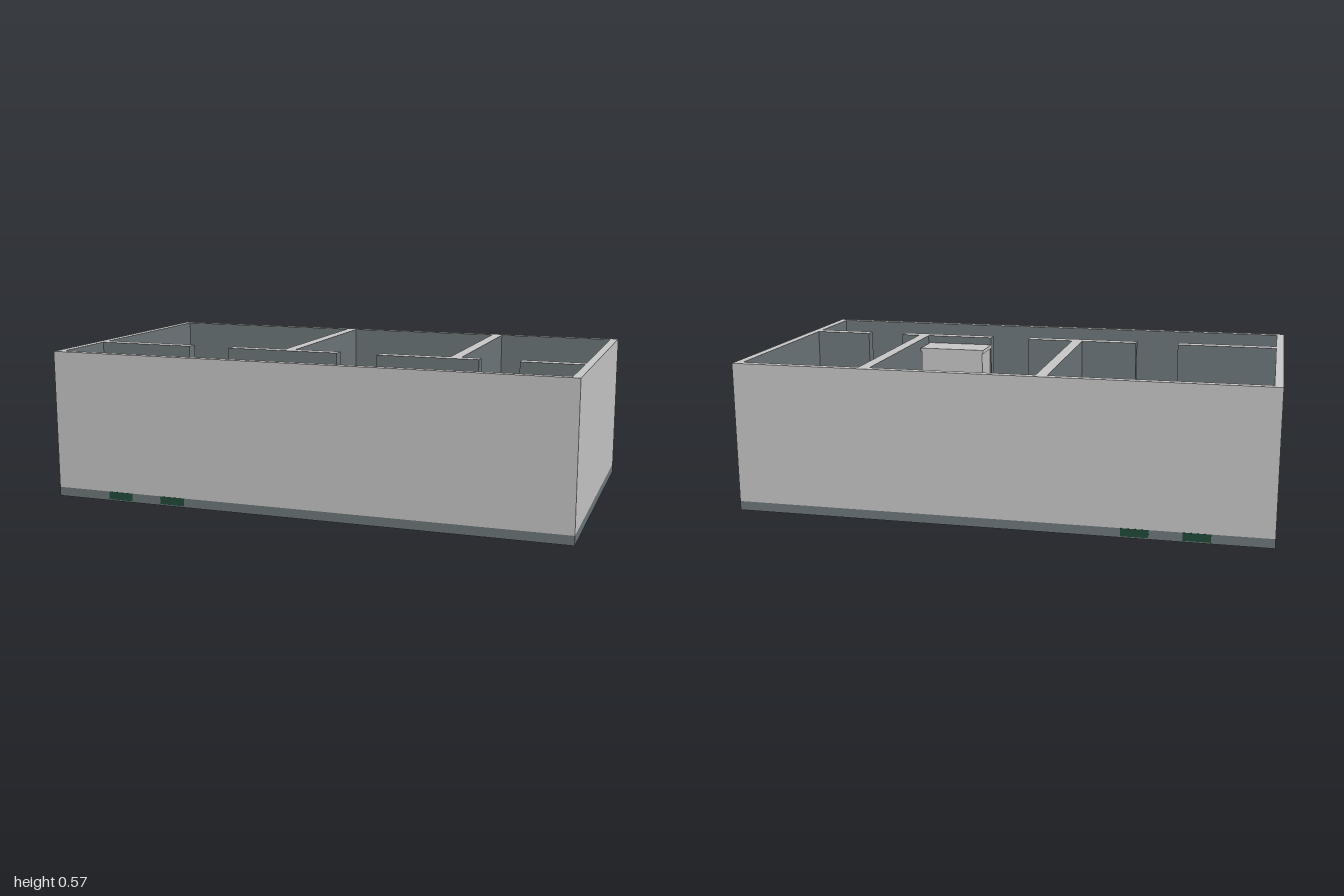
import * as THREE from 'three';

const mat = (name, color) => {
  const m = new THREE.MeshStandardMaterial({ color });
  m.name = name;
  return m;
};

export function createModel() {
  const pale = mat('pale grey', 0xcacaca);
  const slate = mat('slate', 0x6f797d);
  const green = mat('dark green', 0x214b3b);
  const wood = mat('red brown', 0x944a23);
  const H = 0.57, F = 0.035;

  const model = new THREE.Group();
  model.name = 'floorPlan';

  // Box given by its limits along x, y and z
  const box = (parent, name, material, x0, x1, y0, y1, z0, z1) => {
    const mesh = new THREE.Mesh(new THREE.BoxGeometry(x1 - x0, y1 - y0, z1 - z0), material);
    mesh.position.set((x0 + x1) / 2, (y0 + y1) / 2, (z0 + z1) / 2);
    mesh.name = name;
    parent.add(mesh);
    return mesh;
  };
  const group = (name, parent = model) => {
    const g = new THREE.Group();
    g.name = name;
    parent.add(g);
    return g;
  };

  // Base slab: slate rim, pale top and underside
  box(model, 'baseSlab', [slate, slate, pale, pale, slate, slate], -1, 1, 0, F, -0.555, 0.555);
  for (const x of [-0.78, -0.56])
    for (const z of [-0.555, 0.555])
      box(model, 'rimPatch', green, x, x + 0.1, 0.005, F, z - 0.001, z + 0.001);

  // Green floors, set in slightly from the walls
  for (const [x0, x1, z0, z1] of [
    [-0.96, -0.197, -0.518, 0.19], [-0.135, 0.463, -0.518, 0.19],
    [0.525, 0.957, -0.518, 0.19], [-0.97, 0.967, 0.247, 0.522]])
    box(model, 'floor', green, x0, x1, F, F + 0.003, z0, z1);

  // Walls: pale caps, slate sides; outside faces are pale
  const walls = group('walls');
  const wall = (name, x0, x1, z0, z1, outside = -1) => {
    const faces = [0, 1, 2, 3, 4, 5].map(i => (i === 2 || i === outside ? pale : slate));
    box(walls, name, faces, x0, x1, F, H, z0, z1);
  };
  wall('frontWall', -1, 1, 0.525, 0.555, 4);
  wall('backWall', -1, 1, -0.555, -0.525, 5);
  wall('leftWall', 0.97, 1, -0.525, 0.525, 0);
  wall('rightWall', -1, -0.97, -0.525, 0.525, 1);
  // the end faces of the front and back walls are outside too
  for (const w of walls.children.slice(0, 2)) w.material[0] = w.material[1] = pale;
  wall('roomDivider', -0.187, -0.145, -0.525, 0.2);
  wall('roomDivider', 0.473, 0.515, -0.525, 0.2);
  for (const [x0, x1] of [[-0.97, -0.58], [-0.41, 0.04], [0.2, 0.59], [0.74, 0.97]])
    wall('corridorWall', x0, x1, 0.2, 0.245);

  // L-shaped counter
  const shape = new THREE.Shape([[-0.96, 0.505], [-0.96, -0.055], [-0.755, -0.055],
    [-0.755, 0.3], [-0.583, 0.3], [-0.583, 0.505]].map(p => new THREE.Vector2(...p)));
  const counter = new THREE.Mesh(
    new THREE.ExtrudeGeometry(shape, { depth: 0.25 - F, bevelEnabled: false }), slate);
  counter.rotation.x = -Math.PI / 2;
  counter.position.y = F;
  counter.name = 'counter';
  model.add(counter);

  // Tall cupboard with lid and two knobs
  const cupboard = group('cupboard');
  box(cupboard, 'cupboardBody', pale, 0.205, 0.463, F, 0.525, 0.07, 0.2);
  box(cupboard, 'cupboardLid', pale, 0.2, 0.466, 0.525, 0.54, 0.065, 0.2);
  for (const x of [0.315, 0.355]) {
    const knob = new THREE.Mesh(new THREE.SphereGeometry(0.008, 12, 8), wood);
    knob.position.set(x, 0.3, 0.064);
    knob.name = 'knob';
    cupboard.add(knob);
  }

  // Tables
  const table = (x0, x1, z0, z1) => {
    const g = group('table');
    box(g, 'tableTop', wood, x0, x1, 0.19, 0.205, z0, z1);
    for (const x of [x0 + 0.005, x1 - 0.02])
      for (const z of [z0 + 0.005, z1 - 0.02])
        box(g, 'tableLeg', wood, x, x + 0.015, F, 0.19, z, z + 0.015);
  };
  table(-0.41, -0.225, -0.28, 0.01);
  table(0.545, 0.825, -0.505, -0.317);

  // Chairs with a curved backrest
  const arc = new THREE.Shape();
  arc.absarc(0, 0, 0.047, 0.45, Math.PI - 0.45, false);
  arc.absarc(0, 0, 0.039, Math.PI - 0.45, 0.45, true);
  const backGeo = new THREE.ExtrudeGeometry(arc, { depth: 0.06, bevelEnabled: false, curveSegments: 10 });
  backGeo.rotateX(-Math.PI / 2);
  const chair = (x, z, turn) => {
    const g = group('chair');
    box(g, 'seat', wood, -0.036, 0.036, 0.125, 0.137, -0.033, 0.04);
    for (const lx of [-0.034, 0.026])
      for (const lz of [-0.031, 0.03])
        box(g, 'chairLeg', wood, lx, lx + 0.008, F, 0.125, lz, lz + 0.008);
    for (const px of [-0.032, 0.024])
      box(g, 'backPost', wood, px, px + 0.008, 0.137, 0.2, -0.033, -0.025);
    const back = new THREE.Mesh(backGeo, wood);
    back.position.y = 0.175;
    back.name = 'backrest';
    g.add(back);
    g.position.set(x, 0, z);
    g.rotation.y = turn;
  };
  chair(-0.317, -0.347, 0);
  chair(-0.304, 0.078, Math.PI + 0.27);
  chair(0.724, -0.257, Math.PI + 0.27);

  return model;
}
